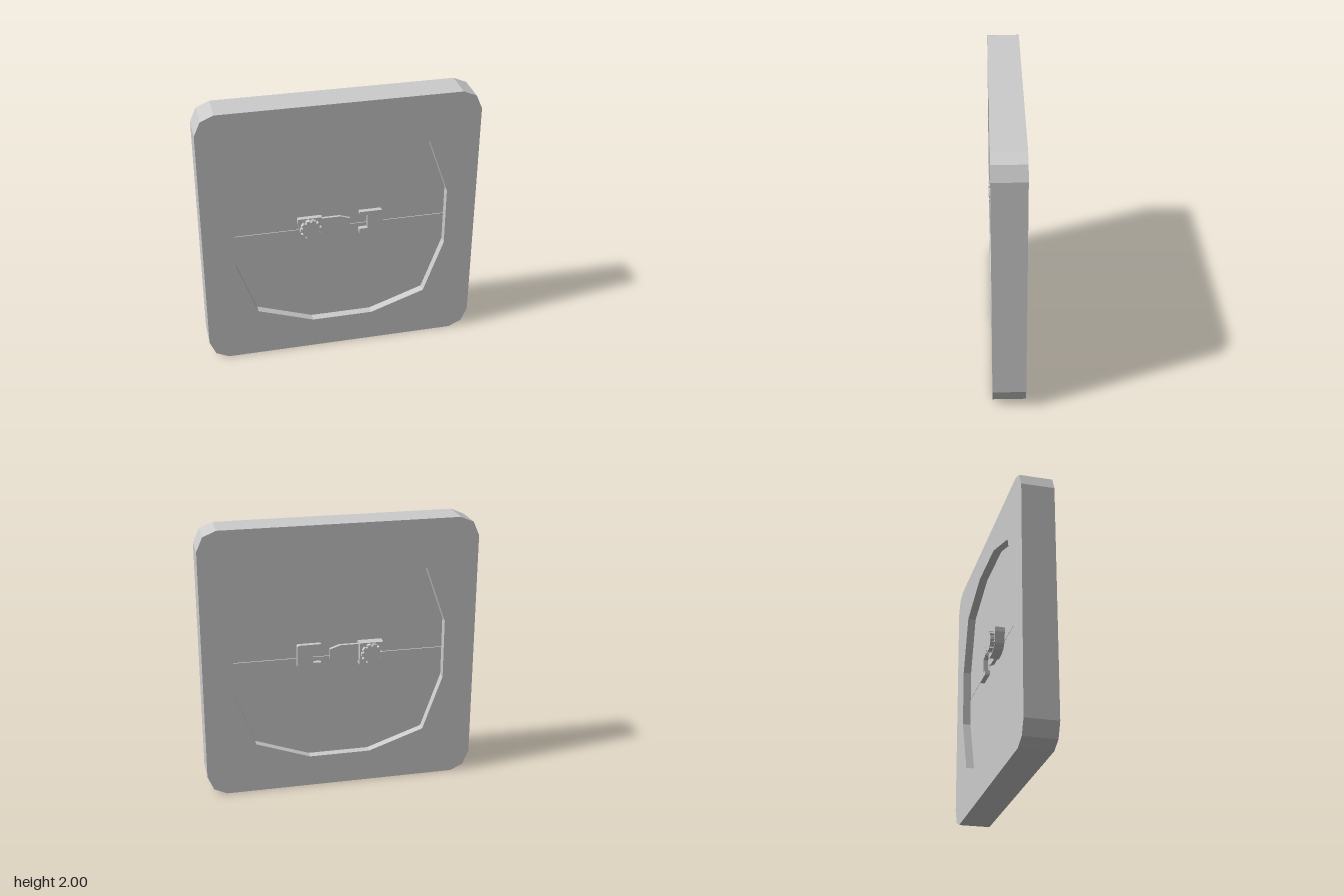
import * as THREE from 'three';

const material = new THREE.MeshStandardMaterial({ color: 0xcccccc, flatShading: true });

const toShape = (points) => new THREE.Shape(points.map(([x, y]) => new THREE.Vector2(x, y)));

// Flat plate with the given outline, filling z0..z1
function plate(name, shape, z0, z1) {
  const geometry = new THREE.ExtrudeGeometry(shape, { depth: z1 - z0, bevelEnabled: false });
  geometry.translate(0, 0, z0);
  const mesh = new THREE.Mesh(geometry, material);
  mesh.name = name;
  return mesh;
}

// Knob outline with small square teeth
function knobShape(cx, cy, outer, inner, teeth) {
  const points = [];
  for (let i = 0; i < teeth; i++) {
    [[-0.3, outer], [0.3, outer], [0.36, inner], [0.64, inner]].forEach(([t, r]) => {
      const a = ((i + t) / teeth) * Math.PI * 2;
      points.push([cx + r * Math.cos(a), cy + r * Math.sin(a)]);
    });
  }
  return toShape(points);
}

const blockOutline = [[-0.31, 1.11], [-0.31, 1.075], [-0.295, 0.99], [-0.26, 0.955],
  [-0.2, 0.94], [-0.135, 0.94], [-0.135, 1.11]];
const barOutline = [[-0.16, 0.96], [0, 0.96], [0.075, 0.985], [0.075, 1.065], [0, 1.09], [-0.16, 1.09]];
const catchOutline = [[0.14, 0.94], [0.305, 0.94], [0.315, 0.95], [0.315, 1.105], [0.305, 1.115],
  [0.14, 1.115], [0.14, 1.095], [0.165, 1.083], [0.2, 1.083], [0.2, 0.975], [0.14, 0.975]];

// Latch on one face; heights are z values, panel is the door surface
function latch(name, panel, z) {
  const group = new THREE.Group();
  group.name = name;
  const add = (part, shape, from, to) =>
    group.add(plate(part, shape, Math.min(from, to), Math.max(from, to)));
  add('latchBlock', toShape(blockOutline), panel, z.block);
  add('latchBar', toShape(barOutline), panel, z.bar);
  add('latchCatch', toShape(catchOutline), panel, z.catch);
  add('latchKnob', knobShape(-0.22, 1.03, 0.077, 0.063, 10), z.block, z.knob);
  return group;
}

export function createModel() {
  const model = new THREE.Group();
  model.name = 'hatch';

  // Square frame with chamfered corners and a twelve-sided opening
  const frame = toShape([[0.86, 0], [0.955, 0.045], [1, 0.15], [1, 1.86], [0.955, 1.96], [0.86, 2],
    [-0.86, 2], [-0.955, 1.96], [-1, 1.86], [-1, 0.15], [-0.955, 0.045], [-0.86, 0]]);
  const upper = [[0.78, 1.23], [0.635, 1.64], [0.235, 1.785], [-0.215, 1.785], [-0.625, 1.64], [-0.77, 1.23]];
  const lower = [[-0.77, 0.79], [-0.625, 0.38], [-0.215, 0.237], [0.235, 0.237], [0.635, 0.38], [0.78, 0.79]];
  frame.holes.push(toShape([...upper, ...lower]));
  model.add(plate('frame', frame, -0.1, 0.135));

  // Two door halves with a narrow seam between them
  const back = -0.04, front = 0.075, seam = 1.007, gap = 0.002;
  model.add(plate('upperDoor', toShape([[-0.77, seam + gap], [0.78, seam + gap], ...upper]), back, front));
  model.add(plate('lowerDoor', toShape([[0.78, seam - gap], [-0.77, seam - gap], ...lower]), back, front));

  // Latches on both faces
  model.add(latch('frontLatch', front, { block: 0.11, bar: 0.095, catch: 0.11, knob: 0.14 }));
  model.add(latch('backLatch', back, { block: -0.11, bar: -0.065, catch: -0.075, knob: -0.14 }));

  return model;
}
